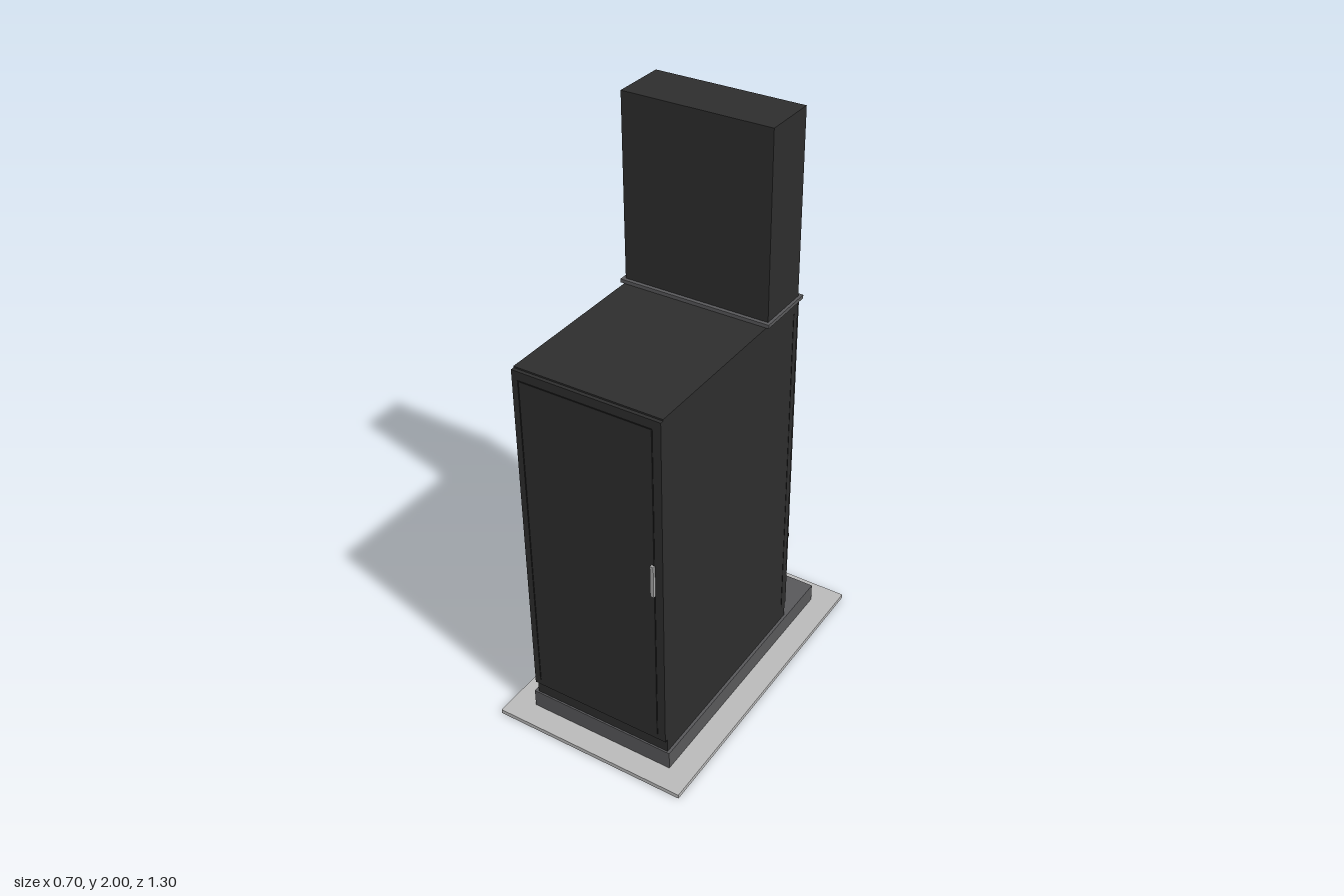
import * as THREE from 'three';

export function createModel() {
  const model = new THREE.Group();
  const material = (name, color) => {
    const m = new THREE.MeshStandardMaterial({ color });
    m.name = name;
    return m;
  };
  const charcoal = material('charcoal', 0x2d2d2d);
  const black = material('black', 0x1c1c1c);
  const grey = material('plinth grey', 0x58585a);
  const concrete = material('concrete', 0xbababa);
  const steel = material('steel', 0xa8a8a8);

  const add = (name, geometry, mat) => {
    const mesh = new THREE.Mesh(geometry, mat);
    mesh.name = name;
    model.add(mesh);
    return mesh;
  };
  // Box given by its limits on each axis
  const box = (name, mat, [x0, x1], [y0, y1], [z0, z1]) => {
    const g = new THREE.BoxGeometry(x1 - x0, y1 - y0, z1 - z0);
    g.translate((x0 + x1) / 2, (y0 + y1) / 2, (z0 + z1) / 2);
    return add(name, g, mat);
  };

  // Ground slab and plinth
  box('groundSlab', concrete, [-0.35, 0.35], [0, 0.015], [-0.472, 0.648]);
  box('plinth', grey, [-0.267, 0.265], [0.015, 0.08], [-0.39, 0.568]);

  // Cabinet body, tall rear riser and the flange between them
  box('cabinetBody', charcoal, [-0.255, 0.255], [0.08, 1.365], [-0.2, 0.562]);
  box('riser', charcoal, [-0.255, 0.255], [1.365, 2], [-0.2, -0.013]);
  // The flange is a collar around the riser
  const collar = new THREE.Shape();
  collar.moveTo(-0.267, 0).lineTo(0.265, 0).lineTo(0.265, 0.214).lineTo(-0.267, 0.214).closePath();
  const hole = new THREE.Path();
  hole.moveTo(-0.255, 0.013).lineTo(-0.255, 0.2).lineTo(0.255, 0.2).lineTo(0.255, 0.013).closePath();
  collar.holes.push(hole);
  const flange = new THREE.ExtrudeGeometry(collar, { depth: 0.012, bevelEnabled: false });
  flange.rotateX(-Math.PI / 2);
  flange.translate(0, 1.367, 0);
  add('flange', flange, grey);

  // Front door with its seam lines and handle
  box('frontDoor', charcoal, [-0.255, 0.255], [0.132, 1.36], [0.562, 0.574]);
  for (const x of [-0.233, 0.225])
    box('doorSeam', black, [x - 0.002, x + 0.002], [0.155, 1.33], [0.574, 0.576]);
  box('doorSeam', black, [-0.235, 0.227], [1.326, 1.33], [0.574, 0.576]);
  box('doorHandle', steel, [0.216, 0.228], [0.73, 0.845], [0.574, 0.584]);

  // Rear panel and its side seams
  box('rearPanel', charcoal, [-0.253, 0.253], [0.132, 1.362], [-0.21, -0.2]);
  for (const s of [-1, 1])
    box('sideSeam', black, [s * 0.255 - 0.001, s * 0.255 + 0.001], [0.132, 1.325], [-0.178, -0.174]);

  // Two pipes leaving the back of the plinth
  for (const x of [-0.09, 0.013]) {
    const pipe = new THREE.CylinderGeometry(0.015, 0.015, 0.27, 20);
    pipe.rotateX(Math.PI / 2);
    pipe.translate(x, 0.035, -0.517);
    add('pipe', pipe, black);
  }

  // Grounding wire running down to the slab
  const wirePath = new THREE.CurvePath();
  const points = [
    [-0.223, 0.175, -0.208], [-0.223, 0.082, -0.247], [-0.267, 0.075, -0.255], [-0.35, 0.013, -0.27],
  ].map((p) => new THREE.Vector3(...p));
  for (let i = 1; i < points.length; i++) wirePath.add(new THREE.LineCurve3(points[i - 1], points[i]));
  add('groundWire', new THREE.TubeGeometry(wirePath, 30, 0.003, 6), grey);

  return model;
}
